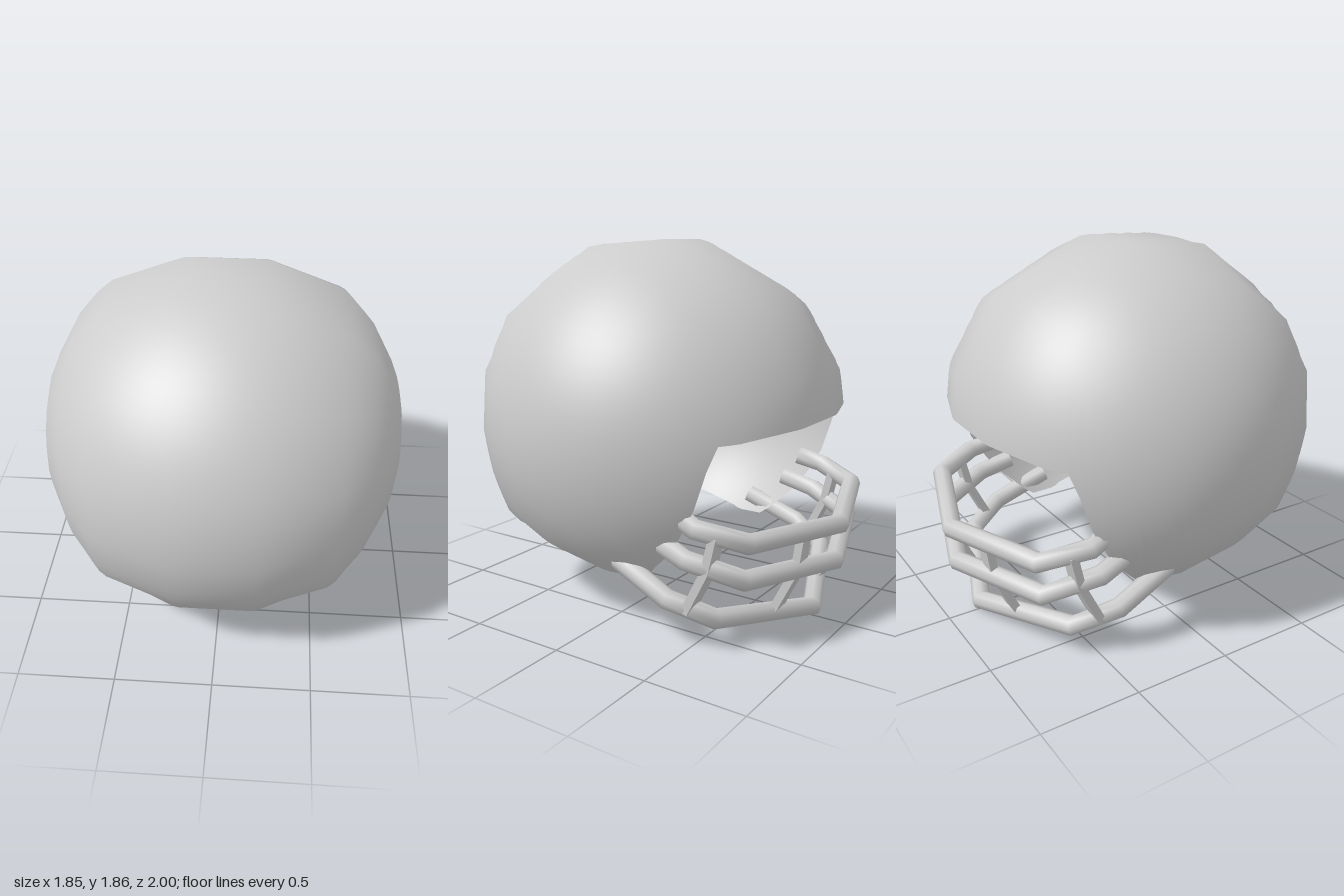
import * as THREE from 'three';

const CY = 0.9; // height of the shell centre
// Side outline of the shell (z, y - CY), counter-clockwise
const OUTLINE = [[1, -0.04], [0.96, 0.335], [0.77, 0.675], [0.4, 0.935], [-0.05, 0.965], [-0.56, 0.71],
  [-0.8, 0.32], [-0.83, 0.1], [-0.81, -0.12], [-0.7, -0.4], [-0.4, -0.7], [0, -0.79], [0.45, -0.72], [0.8, -0.545], [0.93, -0.32]];
// Outline scale against distance from the middle plane
const SCALE = [[0, 1], [0.2, 1], [0.58, 0.855], [0.73, 0.67], [0.86, 0.42], [0.9, 0.27], [0.93, 0]];
// Lower rim height against z: brow, face edge, cheek, neck
const RIM = [[-2, 1], [-0.83, 1.005], [-0.64, 0.985], [-0.55, 0.7], [-0.43, 0.48], [-0.22, 0.275], [-0.05, 0.265],
  [0.26, 0.335], [0.52, 0.425], [0.73, 0.375], [0.8, 0.355], [2, 0.355]];

function lookup(table, t) {
  for (let i = 1; i < table.length; i++) {
    const [a, u] = table[i - 1], [b, v] = table[i];
    if (t <= b) return u + (v - u) * (t - a) / (b - a);
  }
  return table[table.length - 1][1];
}

// Distance from the centre to the outline along (z, y)
function outlineRadius(z, y) {
  const l = Math.hypot(z, y) || 1;
  const dz = z / l, dy = y / l;
  for (let i = 0; i < OUTLINE.length; i++) {
    const a = OUTLINE[i], b = OUTLINE[(i + 1) % OUTLINE.length];
    if (a[0] * dy - a[1] * dz >= -1e-9 && dz * b[1] - dy * b[0] >= -1e-9) {
      return (a[0] * b[1] - a[1] * b[0]) / (dz * (b[1] - a[1]) - dy * (b[0] - a[0]));
    }
  }
  return 0.9;
}

// Shell point at an azimuth (0 = face) and elevation
function shellPoint(az, el) {
  const d = new THREE.Vector3(Math.sin(az) * Math.cos(el), Math.sin(el), -Math.cos(az) * Math.cos(el));
  const radius = outlineRadius(d.z, d.y), across = Math.hypot(d.z, d.y);
  let lo = 0, hi = 1.4;
  for (let i = 0; i < 30; i++) {
    const m = (lo + hi) / 2, x = Math.abs(d.x) * m;
    if (x < 0.93 && across * m < lookup(SCALE, x) * radius) lo = m; else hi = m;
  }
  d.multiplyScalar(lo);
  d.y += CY;
  return d;
}

const aboveRim = (p) => p.y > lookup(RIM, p.z);

// Elevation at which a column meets the rim
function rimElevation(az) {
  let hi = 1.2;
  while (hi > -1.4 && aboveRim(shellPoint(az, hi - 0.03))) hi -= 0.03;
  let lo = hi - 0.03;
  for (let i = 0; i < 16; i++) {
    const m = (lo + hi) / 2;
    if (aboveRim(shellPoint(az, m))) hi = m; else lo = m;
  }
  return hi;
}

// Open shell, columns run from the crown down to the rim
function shellGeometry(cols = 112, rows = 28) {
  const pos = [], nor = [], idx = [];
  for (let c = 0; c <= cols; c++) {
    const az = c / cols * Math.PI * 2, end = rimElevation(az);
    for (let r = 0; r <= rows; r++) {
      const p = shellPoint(az, Math.PI / 2 + (end - Math.PI / 2) * r / rows);
      pos.push(p.x, p.y, p.z);
      const n = new THREE.Vector3(p.x / 0.86, (p.y - CY) / 0.85, (p.z - 0.08) / 0.85).normalize();
      nor.push(n.x, n.y, n.z);
      if (c < cols && r < rows) {
        const a = c * (rows + 1) + r, b = a + rows + 1;
        idx.push(a, b, a + 1, b, b + 1, a + 1);
      }
    }
  }
  const g = new THREE.BufferGeometry();
  g.setAttribute('position', new THREE.Float32BufferAttribute(pos, 3));
  g.setAttribute('normal', new THREE.Float32BufferAttribute(nor, 3));
  g.setIndex(idx);
  return g;
}

// Sweep a ring of (side, up) offsets along a polyline, with closed ends
function sweep(path, ring, ref) {
  const pts = path.map((p) => new THREE.Vector3(...p));
  const n = ring.length, last = pts.length - 1, pos = [], idx = [];
  pts.forEach((p, i) => {
    const t = pts[Math.min(i + 1, last)].clone().sub(pts[Math.max(i - 1, 0)]).normalize();
    const side = new THREE.Vector3().crossVectors(t, ref).normalize();
    const up = new THREE.Vector3().crossVectors(side, t);
    ring.forEach(([u, v], k) => {
      const q = p.clone().addScaledVector(side, u).addScaledVector(up, v);
      pos.push(q.x, q.y, q.z);
      if (i < last) {
        const a = i * n + k, b = i * n + (k + 1) % n;
        idx.push(a, b, a + n, b, b + n, a + n);
      }
    });
  });
  for (let k = 1; k < n - 1; k++) {
    idx.push(0, k + 1, k, last * n, last * n + k, last * n + k + 1);
  }
  const g = new THREE.BufferGeometry();
  g.setAttribute('position', new THREE.Float32BufferAttribute(pos, 3));
  g.setIndex(idx);
  g.computeVertexNormals();
  return g;
}

const mirror = ([x, y, z]) => [-x, y, z];

export function createModel() {
  const model = new THREE.Group();
  model.name = 'helmet';
  const smooth = new THREE.MeshStandardMaterial({ color: 0xcccccc, side: THREE.DoubleSide });
  const flat = new THREE.MeshStandardMaterial({ color: 0xcccccc, flatShading: true, side: THREE.DoubleSide });
  const add = (name, geometry, material) => {
    const mesh = new THREE.Mesh(geometry, material);
    mesh.name = name;
    model.add(mesh);
  };

  add('shell', shellGeometry(), smooth);

  // Face guard bars, from the middle to the side end
  const round = Array.from({ length: 8 }, (_, k) => {
    const a = k / 8 * Math.PI * 2;
    return [Math.cos(a) * 0.05, Math.sin(a) * 0.05];
  });
  const bars = {
    upperBar: [[0, 0.515, -0.95], [0.58, 0.55, -0.77], [0.68, 0.605, -0.55], [0.64, 0.645, -0.42]],
    middleBar: [[0, 0.325, -0.93], [0.58, 0.375, -0.75], [0.68, 0.45, -0.5], [0.65, 0.505, -0.32]],
    lowerBar: [[0, 0.057, -0.82], [0.58, 0.155, -0.6], [0.68, 0.24, -0.4], [0.65, 0.36, -0.1]],
  };
  for (const [name, half] of Object.entries(bars)) {
    const path = [...half.slice(1).reverse().map(mirror), ...half];
    add(name, sweep(path, round, new THREE.Vector3(0, 1, 0)), smooth);
  }

  // Flat uprights joining the bars
  const strap = [[-0.02, -0.043], [0.02, -0.043], [0.02, 0.043], [-0.02, 0.043]];
  const uprights = {
    frontUpright: [[0.24, 0.54, -0.88], [0.24, 0.34, -0.85], [0.24, 0.1, -0.73]],
    sideUpright: [[0.64, 0.58, -0.64], [0.64, 0.41, -0.6], [0.64, 0.19, -0.49]],
  };
  for (const [name, path] of Object.entries(uprights)) {
    const ref = new THREE.Vector3(1, 0, 0);
    add(name + 'Left', sweep(path, strap, ref), flat);
    add(name + 'Right', sweep(path.map(mirror), strap, ref), flat);
  }
  return model;
}
